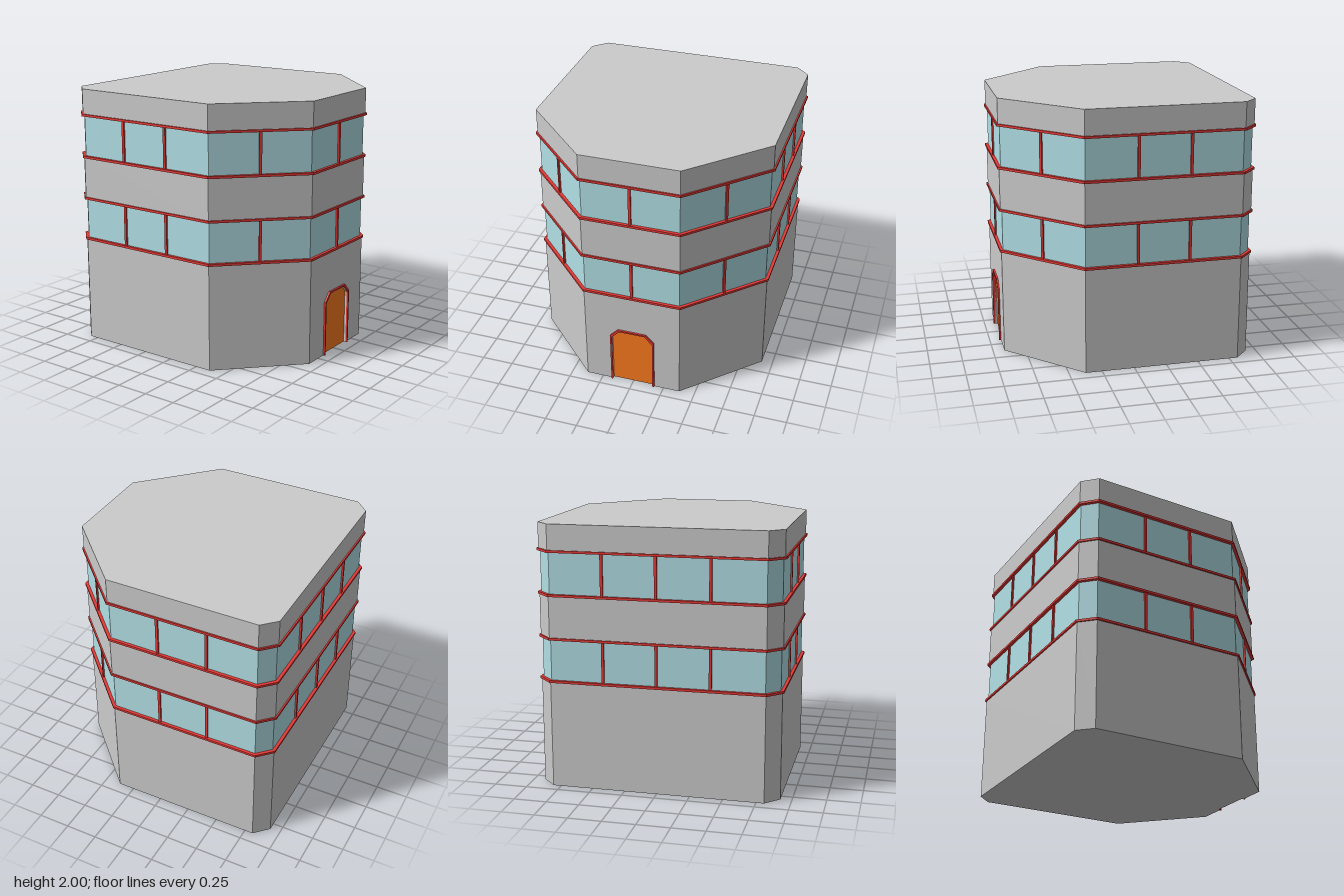
import * as THREE from 'three';

const mat = (color) => new THREE.MeshStandardMaterial({ color, flatShading: true });
const V = (x, y) => new THREE.Vector2(x, y);

// Floor plan, anticlockwise, symmetric front to back
const PLAN = [
  V(-0.92, -0.81), V(-0.815, -0.915), V(0.375, -0.915), V(0.912, -0.378),
  V(0.912, 0.378), V(0.375, 0.915), V(-0.815, 0.915), V(-0.92, 0.81),
];

// Move every side of a polygon outward by d, with mitred corners
function offset(points, d) {
  const n = points.length;
  const normal = (a, b) => V(b.y - a.y, a.x - b.x).normalize();
  return points.map((p, i) => {
    const n1 = normal(points[(i + n - 1) % n], p);
    const n2 = normal(p, points[(i + 1) % n]);
    return p.clone().addScaledVector(n1.clone().add(n2), d / (1 + n1.dot(n2)));
  });
}

// Prism over a floor plan between two heights, optionally hollow
function prism(points, y0, y1, holePoints) {
  const shape = new THREE.Shape(points);
  if (holePoints) shape.holes.push(new THREE.Path(holePoints));
  const g = new THREE.ExtrudeGeometry(shape, { depth: y1 - y0, bevelEnabled: false });
  return g.rotateX(-Math.PI / 2).translate(0, y0, 0);
}

// Prism from an outline in (z, y), pushed out along +x
function sideways(shape, x0, x1) {
  const g = new THREE.ExtrudeGeometry(shape, { depth: x1 - x0, bevelEnabled: false });
  return g.rotateY(Math.PI / 2).translate(x0, 0, 0);
}

// Half-width w, height h doorway with cut top corners
const doorway = (w, h) => [
  V(w, 0), V(w, h - 0.065), V(w - 0.063, h), V(-w + 0.063, h), V(-w, h - 0.065), V(-w, 0),
];

export function createModel() {
  const model = new THREE.Group();
  const wall = mat(0xcccccc), glass = mat(0xb2e0e6), red = mat(0xe53935), orange = mat(0xfa7a1e);
  const add = (name, geometry, material, parent = model) => {
    const mesh = new THREE.Mesh(geometry, material);
    mesh.name = name;
    parent.add(mesh);
    return mesh;
  };

  const bands = [[0.822, 1.147], [1.474, 1.8]];
  const xWall = 0.912, recess = 0.02, half = 0.378;

  // Ground floor: the core stops short on the door side...
  const core = PLAN.map((p) => (p.x > 0.9
    ? V(xWall - recess, Math.sign(p.y) * (half + recess)) : p.clone()));
  add('groundFloor', prism(core, 0, bands[0][0]), wall);

  // ...and a mitred slab with the door opening fills the gap
  const opening = doorway(0.163, 0.487);
  const slab = new THREE.Shape([
    V(-half, 0), ...opening.slice().reverse(), V(half, 0),
    V(half, bands[0][0]), V(-half, bands[0][0]),
  ]);
  const slabGeometry = sideways(slab, xWall - recess, xWall);
  const pos = slabGeometry.attributes.position;
  for (let i = 0; i < pos.count; i++) {
    const z = pos.getZ(i);
    if (Math.abs(z) > half - 0.01 && pos.getX(i) < xWall - recess / 2) {
      pos.setZ(i, Math.sign(z) * (half + recess));
    }
  }
  slabGeometry.computeVertexNormals();
  add('doorWall', slabGeometry, wall);

  // Walls above each window band
  add('middleWall', prism(PLAN, bands[0][1], bands[1][0]), wall);
  add('topWall', prism(PLAN, bands[1][1], 2), wall);

  // Window bands: recessed glass, red rails and mullions
  const panes = [1, 3, 2, 2, 2, 3, 1, 4]; // panes on each side of the plan
  const glassPlan = offset(PLAN, -0.012);
  const railOuter = offset(PLAN, 0.011), railInner = offset(PLAN, -0.02);
  const mullionPlan = offset(PLAN, -0.009);
  bands.forEach(([y0, y1]) => {
    const band = new THREE.Group();
    band.name = 'windowBand';
    model.add(band);
    add('glass', prism(glassPlan, y0, y1), glass, band);
    for (const y of [y0, y1]) {
      add('rail', prism(railOuter, y - 0.009, y + 0.009, railInner), red, band);
    }
    mullionPlan.forEach((a, i) => {
      const b = mullionPlan[(i + 1) % mullionPlan.length];
      for (let k = 1; k < panes[i]; k++) {
        const p = a.clone().lerp(b, k / panes[i]);
        const m = add('mullion', new THREE.BoxGeometry(0.02, y1 - y0, 0.02), red, band);
        m.position.set(p.x, (y0 + y1) / 2, -p.y);
        m.rotation.y = Math.atan2(b.y - a.y, b.x - a.x);
      }
    });
  });

  // Door leaf and its projecting frame
  const door = new THREE.Group();
  door.name = 'door';
  model.add(door);
  add('doorLeaf', sideways(new THREE.Shape(opening), xWall - recess, xWall - recess + 0.004), orange, door);
  const frame = new THREE.Shape([...doorway(0.176, 0.5), ...opening.slice().reverse()]);
  add('doorFrame', sideways(frame, xWall - recess, 0.926), red, door);

  return model;
}
